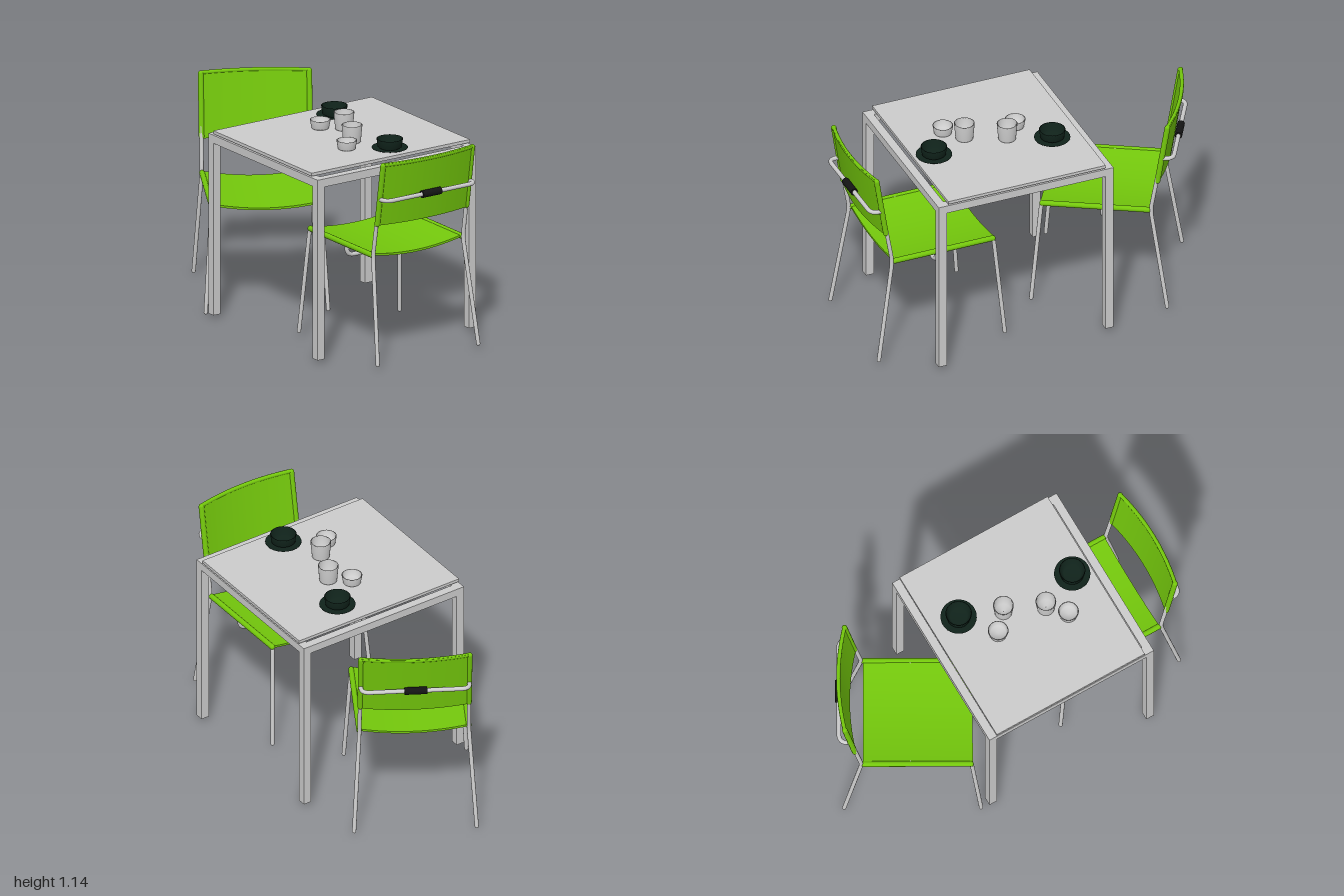
import * as THREE from 'three';

const mat = (color, side = THREE.FrontSide) => new THREE.MeshStandardMaterial({ color, side });
const grey = mat(0xcccccc);
const green = mat(0x74c80c);
const black = mat(0x141414);
const dark = mat(0x10231b, THREE.DoubleSide);
const cupGrey = mat(0xcccccc, THREE.DoubleSide);
const V = (x, y, z) => new THREE.Vector3(x, y, z);

function add(parent, name, geometry, material, x = 0, y = 0, z = 0) {
  const mesh = new THREE.Mesh(geometry, material);
  mesh.name = name;
  mesh.position.set(x, y, z);
  parent.add(mesh);
  return mesh;
}

const box = (parent, name, material, x0, x1, y0, y1, z0, z1) =>
  add(parent, name, new THREE.BoxGeometry(x1 - x0, y1 - y0, z1 - z0), material,
    (x0 + x1) / 2, (y0 + y1) / 2, (z0 + z1) / 2);

// Tube through points with rounded bends and closed ends
function bentTube(parent, name, points, radius, bend, material, segments = 64) {
  const path = new THREE.CurvePath();
  let from = points[0];
  for (let i = 1; i < points.length - 1; i++) {
    const p = points[i];
    const a = p.clone().add(points[i - 1].clone().sub(p).setLength(bend));
    const b = p.clone().add(points[i + 1].clone().sub(p).setLength(bend));
    path.add(new THREE.LineCurve3(from, a));
    path.add(new THREE.QuadraticBezierCurve3(a, p, b));
    from = b;
  }
  const last = points[points.length - 1];
  path.add(new THREE.LineCurve3(from, last));
  const group = new THREE.Group();
  group.name = name;
  add(group, name + 'Tube', new THREE.TubeGeometry(path, segments, radius, 12), material);
  for (const p of [points[0], last])
    add(group, name + 'End', new THREE.SphereGeometry(radius, 12, 8), material, p.x, p.y, p.z);
  parent.add(group);
}

// Thin box whose vertices are moved by a rule
function bentPanel(parent, name, w, h, d, segs, rule) {
  const g = new THREE.BoxGeometry(w, h, d, ...segs);
  const p = g.attributes.position;
  const v = V(0, 0, 0);
  for (let i = 0; i < p.count; i++) {
    v.fromBufferAttribute(p, i);
    rule(v);
    p.setXYZ(i, v.x, v.y, v.z);
  }
  g.computeVertexNormals();
  add(parent, name, g, green);
}

// Chair facing +z
function makeChair(name) {
  const chair = new THREE.Group();
  chair.name = name;
  const backZ = y => -0.305 - 0.055 * (y - 0.765) / 0.35;

  for (const s of [-1, 1]) {
    // One bent tube: front leg, seat side, back leg start
    bentTube(chair, 'frontLegAndSeatRail',
      [V(s * 0.325, 0.011, 0.362), V(s * 0.29, 0.588, 0.312), V(s * 0.29, 0.588, -0.27)],
      0.011, 0.025, grey);
    bentTube(chair, 'backLegAndPost',
      [V(s * 0.325, 0.011, -0.362), V(s * 0.29, 0.588, -0.27), V(s * 0.288, 1.1, backZ(1.1))],
      0.011, 0.04, grey);
    // Fabric sleeves around the tubes
    bentTube(chair, 'seatSleeve',
      [V(s * 0.29, 0.588, 0.308), V(s * 0.29, 0.588, -0.258)], 0.015, 0, green, 1);
    bentTube(chair, 'backSleeve',
      [V(s * 0.288, 0.772, backZ(0.772)), V(s * 0.288, 1.108, backZ(1.108))], 0.015, 0, green, 1);
  }

  bentPanel(chair, 'seat', 0.58, 0.012, 0.58, [20, 1, 2], v => {
    v.y += 0.592 - 0.03 * (1 - (v.x / 0.29) ** 2);
    v.z += 0.028;
  });
  bentPanel(chair, 'backrest', 0.576, 0.355, 0.014, [20, 2, 1], v => {
    v.y += 0.942;
    v.z += backZ(v.y) - 0.033 * (1 - (v.x / 0.288) ** 2);
  });

  // Rolled hem along the top of the backrest
  const hem = new THREE.QuadraticBezierCurve3(
    V(-0.288, 1.112, backZ(1.112)), V(0, 1.112, backZ(1.112) - 0.066), V(0.288, 1.112, backZ(1.112)));
  add(chair, 'backrestHem', new THREE.TubeGeometry(hem, 20, 0.011, 10), green);

  // Carrying bar behind the backrest and stretcher below the seat, each with a grip
  const bars = [
    ['backBar', 0.288, V(0, 0.915, -0.328), V(0, 0.917, -0.39)],
    ['underSeatBar', 0.28, V(0, 0.585, -0.012), V(0, 0.52, -0.012)],
  ];
  for (const [label, w, end, mid] of bars) {
    bentTube(chair, label, [V(-w, end.y, end.z), V(-w, mid.y, mid.z),
      V(w, mid.y, mid.z), V(w, end.y, end.z)], 0.012, 0.045, grey);
    const grip = add(chair, label + 'Grip', new THREE.CylinderGeometry(0.02, 0.02, 0.12, 20),
      black, 0, mid.y, mid.z);
    grip.rotation.z = Math.PI / 2;
  }
  return chair;
}

function makeTable() {
  const table = new THREE.Group();
  table.name = 'table';
  const x0 = -0.32, x1 = 0.685, z = 0.512, t = 0.046;
  for (const x of [x0, x1 - t]) {
    for (const zz of [-z, z - t]) box(table, 'tableLeg', grey, x, x + t, 0.02, 1.02, zz, zz + t);
    box(table, 'sideRail', grey, x, x + t, 0.975, 1.02, -z + t, z - t);
  }
  for (const zz of [-z, z - t])
    box(table, 'endRail', grey, x0 + t, x1 - t, 0.975, 1.02, zz, zz + t);
  box(table, 'tableTop', grey, -0.275, 0.63, 1.028, 1.045, -z, z);
  return table;
}

const lathe = pts => new THREE.LatheGeometry(pts.map(p => new THREE.Vector2(...p)), 32);

export function createModel() {
  const model = new THREE.Group();
  model.name = 'diningSet';
  model.add(makeTable());

  const leftChair = makeChair('leftChair');
  leftChair.position.set(0.5925, 0.018, -0.012);
  leftChair.rotation.y = -Math.PI / 2;
  const rightChair = makeChair('rightChair');
  rightChair.position.set(-0.514, 0, 0.036);
  rightChair.rotation.y = Math.PI / 3;
  model.add(leftChair, rightChair);

  // Plates with bowls
  for (const [x, z] of [[-0.118, -0.16], [0.523, -0.068]]) {
    add(model, 'plate', lathe([[0, 0.001], [0.06, 0.001], [0.096, 0.01], [0.096, 0.013],
      [0.06, 0.005], [0, 0.005]]), dark, x, 1.045, z);
    add(model, 'bowl', lathe([[0, 0.006], [0.05, 0.006], [0.064, 0.016], [0.07, 0.06],
      [0.065, 0.06], [0.059, 0.02], [0.045, 0.012], [0, 0.012]]), dark, x, 1.045, z);
  }

  // Tall and short cups
  for (const [x, z, h] of [[0.016, 0.025, 0.05], [0.102, -0.068, 0.097],
    [0.308, 0.025, 0.097], [0.392, 0.118, 0.05]]) {
    add(model, 'cup', lathe([[0, 0.001], [0.044, 0.001], [0.047, 0.006], [0.055, h],
      [0.049, h], [0.042, 0.008], [0, 0.008]]), cupGrey, x, 1.045, z);
  }
  return model;
}
